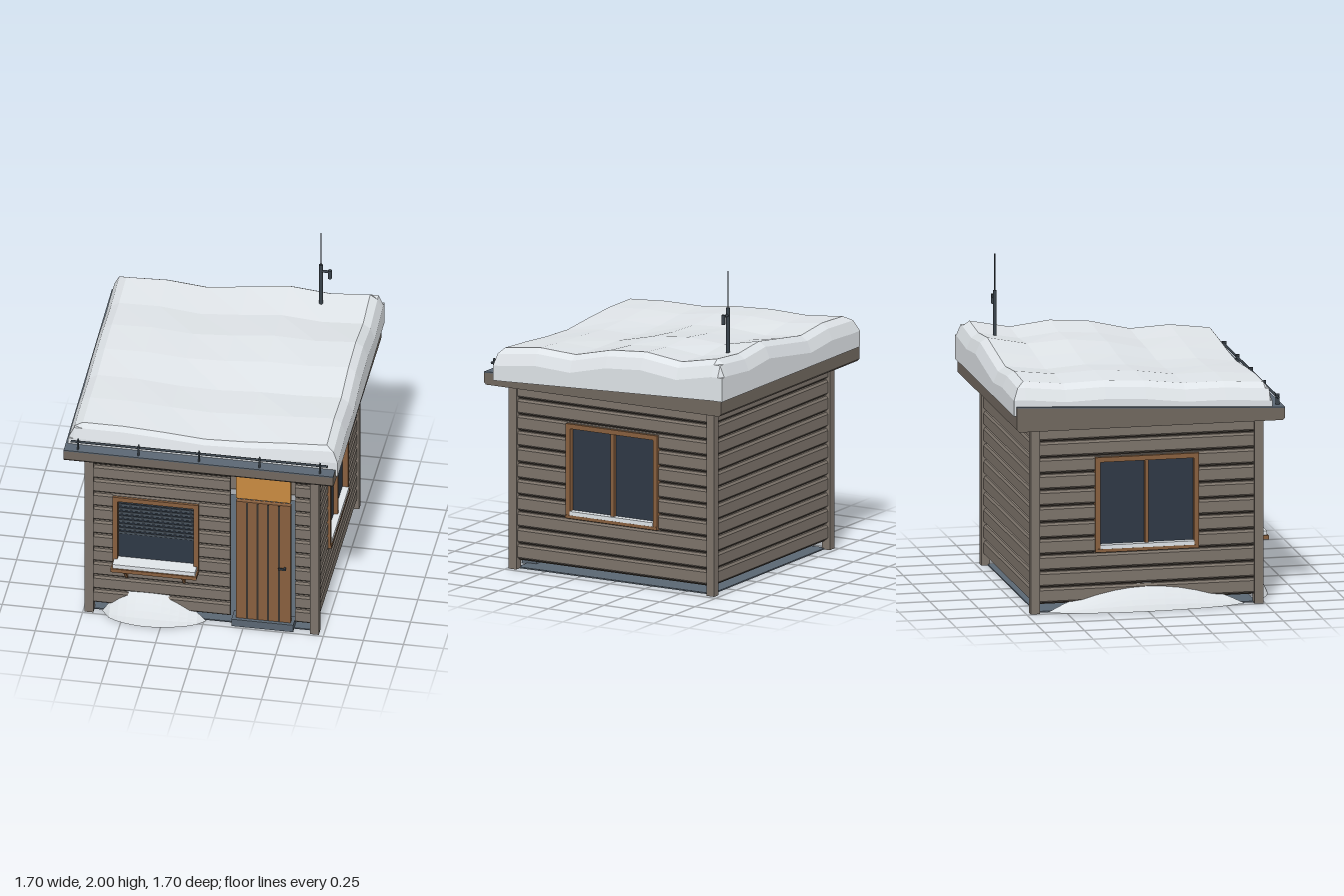
import * as THREE from 'three';

const mat = (name, color, extra = {}) => Object.assign(new THREE.MeshStandardMaterial({ color, ...extra }), { name });
const WOOD = mat('weathered wood', 0x7c736a);
const FASCIA = mat('roof trim wood', 0x70675e);
const SEAM = mat('plank seam', 0x38322c);
const BROWN = mat('brown timber', 0x875f3e);
const AMBER = mat('amber panel', 0xc88a40);
const GLASS = mat('dark glass', 0x2e3845);
const SLATE = mat('slate grey', 0x5a6672);
const METAL = mat('dark metal', 0x39424a);
const SNOW = mat('snow', 0xe0e5e9, { flatShading: true, side: THREE.DoubleSide });

function add(parent, name, geometry, material) {
  const m = new THREE.Mesh(geometry, material);
  m.name = name;
  parent.add(m);
  return m;
}

// Box given by its limits on each axis
function box(parent, name, material, x0, x1, y0, y1, z0, z1) {
  const m = add(parent, name, new THREE.BoxGeometry(x1 - x0, y1 - y0, z1 - z0), material);
  m.position.set((x0 + x1) / 2, (y0 + y1) / 2, (z0 + z1) / 2);
  return m;
}

// Prism along x from a [z, y] outline
function prism(parent, name, material, outline, x0, x1) {
  const shape = new THREE.Shape(outline.map(([z, y]) => new THREE.Vector2(-z, y)));
  const g = new THREE.ExtrudeGeometry(shape, { depth: x1 - x0, bevelEnabled: false });
  return add(parent, name, g.rotateY(Math.PI / 2).translate(x0, 0, 0), material);
}

function rod(parent, name, material, r, from, to) {
  const a = new THREE.Vector3(...from), b = new THREE.Vector3(...to);
  const m = add(parent, name, new THREE.CylinderGeometry(r, r, a.distanceTo(b), 10), material);
  m.position.copy(a).lerp(b, 0.5);
  m.quaternion.setFromUnitVectors(new THREE.Vector3(0, 1, 0), b.sub(a).normalize());
  return m;
}

const Y0 = 0.055, Y1 = 1.175, ROWS = 11, PITCH = (Y1 - Y0) / ROWS;

// One wall section facing +z: lining, seam sheet and planks, cut around a window hole
function wall(parent, x0, x1, hole) {
  const panel = (name, material, z, depth) => {
    const s = new THREE.Shape([[x0, Y0], [x1, Y0], [x1, Y1], [x0, Y1]].map(p => new THREE.Vector2(...p)));
    if (hole) {
      const [a, b, c, d] = hole;
      s.holes.push(new THREE.Path([[a, c], [a, d], [b, d], [b, c]].map(p => new THREE.Vector2(...p))));
    }
    add(parent, name, new THREE.ExtrudeGeometry(s, { depth, bevelEnabled: false }).translate(0, 0, z), material);
  };
  panel('wallLining', WOOD, 0.678, 0.01);
  panel('plankSeams', SEAM, 0.688, 0.004);
  const plank = (a, b, y0, y1) => {
    if (b - a < 0.005 || y1 - y0 < 0.004) return;
    const h = y1 - y0;
    prism(parent, 'plank', WOOD, [[0.69, y0 + 0.1 * h], [0.706, y0 + 0.1 * h], [0.716, y0 + 0.2 * h],
      [0.716, y0 + 0.86 * h], [0.706, y1], [0.69, y1]], a, b);
  };
  for (let r = 0; r < ROWS; r++) {
    const lo = Y0 + r * PITCH, hi = lo + PITCH;
    if (!hole || hi <= hole[2] || lo >= hole[3]) { plank(x0, x1, lo, hi); continue; }
    plank(x0, hole[0], lo, hi);
    plank(hole[1], x1, lo, hi);
    plank(hole[0], hole[1], lo, Math.min(hi, hole[2]));
    plank(hole[0], hole[1], Math.max(lo, hole[3]), hi);
  }
}

// Framed window facing +z, limits as [x0, x1, y0, y1]
function window_(parent, [x0, x1, y0, y1], mullion) {
  const g = new THREE.Group(), t = 0.03;
  g.name = 'window';
  parent.add(g);
  box(g, 'glass', GLASS, x0 + t, x1 - t, y0 + t, y1 - t, 0.688, 0.694);
  for (const a of [x0, x1 - t]) box(g, 'frameSide', BROWN, a, a + t, y0, y1, 0.68, 0.73);
  box(g, 'frameTop', BROWN, x0 + t, x1 - t, y1 - t, y1, 0.68, 0.73);
  box(g, 'sill', BROWN, x0, x1, y0, y0 + 0.02, 0.68, 0.736);
  box(g, 'sillSnow', SNOW, x0 + t, x1 - t, y0 + 0.02, y0 + 0.045, 0.69, 0.735);
  if (mullion) {
    const c = (x0 + x1) / 2;
    box(g, 'mullion', BROWN, c - 0.011, c + 0.011, y0 + t, y1 - t, 0.685, 0.72);
  }
  return g;
}

// Snow bank leaning on a wall facing +z, with its crest following an uneven hump
function drift(parent, x0, x1, height, depth, lean) {
  const N = 12, M = 5, pos = [], idx = [];
  for (let i = 0; i <= N; i++) {
    const u = i / N, hump = Math.pow(Math.sin(Math.PI * Math.pow(u, lean)), 0.85);
    for (let j = 0; j <= M; j++) {
      const v = j / M;
      pos.push(x0 + (x1 - x0) * u, height * hump * Math.pow(v, 0.9),
        0.7 + depth * Math.pow(hump, 0.7) * (1 - Math.pow(v, 1.15)));
      if (i < N && j < M) {
        const a = i * (M + 1) + j, b = a + M + 1;
        idx.push(a, b, b + 1, a, b + 1, a + 1);
      }
    }
  }
  const g = new THREE.BufferGeometry();
  g.setAttribute('position', new THREE.Float32BufferAttribute(pos, 3));
  g.setIndex(idx);
  g.computeVertexNormals();
  add(parent, 'snowDrift', g, SNOW);
}

// Faceted roof snow: a 6 x 6 field with rounded rims that drop to the roof edge
function roofSnow(parent) {
  const axis = (out0, in0, in1, out1) => [out0, out0, in0 + (out0 - in0) * 0.6,
    ...Array.from({ length: 7 }, (_, k) => in0 + (in1 - in0) * k / 6), in1 + (out1 - in1) * 0.6, out1, out1];
  const xs = axis(-0.835, -0.75, 0.77, 0.845), zs = axis(-0.85, -0.775, 0.735, 0.775);
  const back = [1.47, 1.48, 1.455, 1.49, 1.525, 1.5, 1.52];
  const front = [1.395, 1.395, 1.38, 1.36, 1.37, 1.39, 1.405];
  const wave = [0, -0.03, 0.02, 0.02, -0.02, 0.012, 0];
  const drop = [0, 0.1, 0.03, 0], pos = [], idx = [], n = xs.length;
  for (let i = 0; i < n; i++) for (let j = 0; j < n; j++) {
    const ci = Math.min(6, Math.max(0, i - 3)), cj = Math.min(6, Math.max(0, j - 3));
    const ring = Math.min(3, i, j, n - 1 - i, n - 1 - j);
    const top = back[ci] + (front[ci] - back[ci]) * cj / 6 + wave[cj] * (0.4 + ci / 10);
    pos.push(xs[i], ring === 0 ? 1.27 - 0.01 * cj : top - drop[ring], zs[j]);
    if (i < n - 1 && j < n - 1) {
      const a = i * n + j, d = a + n;
      idx.push(a, a + 1, d + 1, a, d + 1, d);
    }
  }
  const g = new THREE.BufferGeometry();
  g.setAttribute('position', new THREE.Float32BufferAttribute(pos, 3));
  g.setIndex(idx);
  g.computeVertexNormals();
  add(parent, 'roofSnow', g, SNOW);
}

export function createModel() {
  const model = new THREE.Group();
  model.name = 'snowyHut';
  const house = new THREE.Group();
  house.name = 'house';
  house.position.set(-0.01, 0, 0.0075);
  model.add(house);

  // Floor and corner posts
  box(house, 'floor', SLATE, -0.69, 0.69, 0, 0.008, -0.69, 0.69);
  for (const x of [-0.7025, 0.7025]) for (const z of [-0.7025, 0.7025])
    box(house, 'cornerPost', WOOD, x - 0.0275, x + 0.0275, 0, 1.18, z - 0.0275, z + 0.0275);

  // Four sides, each built facing +z and turned into place
  const sides = ['frontSide', 'leftSide', 'backSide', 'rightSide'].map((name, k) => {
    const g = new THREE.Group();
    g.name = name;
    g.rotation.y = k * Math.PI / 2;
    house.add(g);
    return g;
  });
  const [front, left, rear, right] = sides;
  const frontHole = [-0.555, -0.02, 0.365, 0.865], sideHole = [-0.325, 0.325, 0.37, 0.965];
  wall(front, -0.68, 0.175, frontHole);
  wall(front, 0.58, 0.68);
  wall(rear, -0.68, 0.68);
  for (const s of [left, right]) {
    wall(s, -0.68, 0.68, sideHole);
    window_(s, sideHole, true);
  }

  // Serving window with blind, shelf and brackets
  const serving = window_(front, frontHole, false);
  for (let k = 0; k < 9; k++) {
    const slat = box(serving, 'blindSlat', SLATE, -0.522, -0.053, 0.583 + k * 0.029, 0.61 + k * 0.029, 0.704, 0.709);
    slat.rotation.x = 0.45;
  }
  box(serving, 'shelf', BROWN, -0.555, -0.02, 0.36, 0.385, 0.73, 0.803);
  box(serving, 'shelfSnow', SNOW, -0.545, -0.03, 0.385, 0.412, 0.73, 0.795);
  for (const x of [-0.47, -0.11])
    prism(serving, 'shelfBracket', BROWN, [[0.715, 0.27], [0.735, 0.295], [0.795, 0.36], [0.715, 0.36]], x - 0.008, x + 0.008);

  // Door standing in an open doorway
  const door = new THREE.Group();
  door.name = 'door';
  front.add(door);
  box(door, 'doorLeaf', BROWN, 0.21, 0.55, 0.05, 0.91, 0.675, 0.705);
  for (const x of [0.278, 0.344, 0.41, 0.478])
    box(door, 'doorGroove', SEAM, x - 0.006, x + 0.006, 0.055, 0.905, 0.705, 0.708);
  box(door, 'transomPanel', AMBER, 0.21, 0.55, 0.932, 1.145, 0.68, 0.705);
  box(door, 'doorHandle', METAL, 0.475, 0.525, 0.445, 0.457, 0.718, 0.728);
  box(door, 'handleStem', METAL, 0.51, 0.52, 0.445, 0.457, 0.705, 0.72);
  box(front, 'doorStep', SLATE, 0.185, 0.57, 0, 0.05, 0.628, 0.728);

  // Snow banks against the front and the right side
  drift(front, -0.625, 0.025, 0.19, 0.13, 0.85);
  drift(right, -0.62, 0.62, 0.16, 0.105, 1);

  // Sloped roof with slate top
  prism(model, 'roof', FASCIA, [[0.835, 1.172], [0.85, 1.187], [0.85, 1.245], [-0.835, 1.325],
    [-0.835, 1.187], [-0.82, 1.172]], -0.85, 0.83);
  prism(model, 'roofSheet', SLATE, [[0.85, 1.245], [0.85, 1.252], [-0.835, 1.332], [-0.835, 1.325]], -0.85, 0.83);
  roofSnow(model);

  // Snow guard rail along the front eave
  rod(model, 'guardRail', METAL, 0.008, [-0.81, 1.303, 0.817], [0.79, 1.303, 0.817]);
  for (let k = 0; k < 5; k++) {
    const x = -0.765 + k * 0.377;
    box(model, 'railPost', METAL, x - 0.005, x + 0.005, 1.245, 1.32, 0.808, 0.832);
  }

  // Roof mast with whip and sensor arm
  rod(model, 'mast', METAL, 0.012, [0.48, 1.42, -0.68], [0.48, 1.77, -0.68]);
  rod(model, 'whip', METAL, 0.004, [0.48, 1.77, -0.68], [0.48, 2, -0.68]);
  rod(model, 'sensorArm', METAL, 0.009, [0.48, 1.723, -0.68], [0.54, 1.723, -0.68]);
  rod(model, 'sensor', METAL, 0.012, [0.536, 1.675, -0.68], [0.536, 1.735, -0.68]);
  return model;
}
